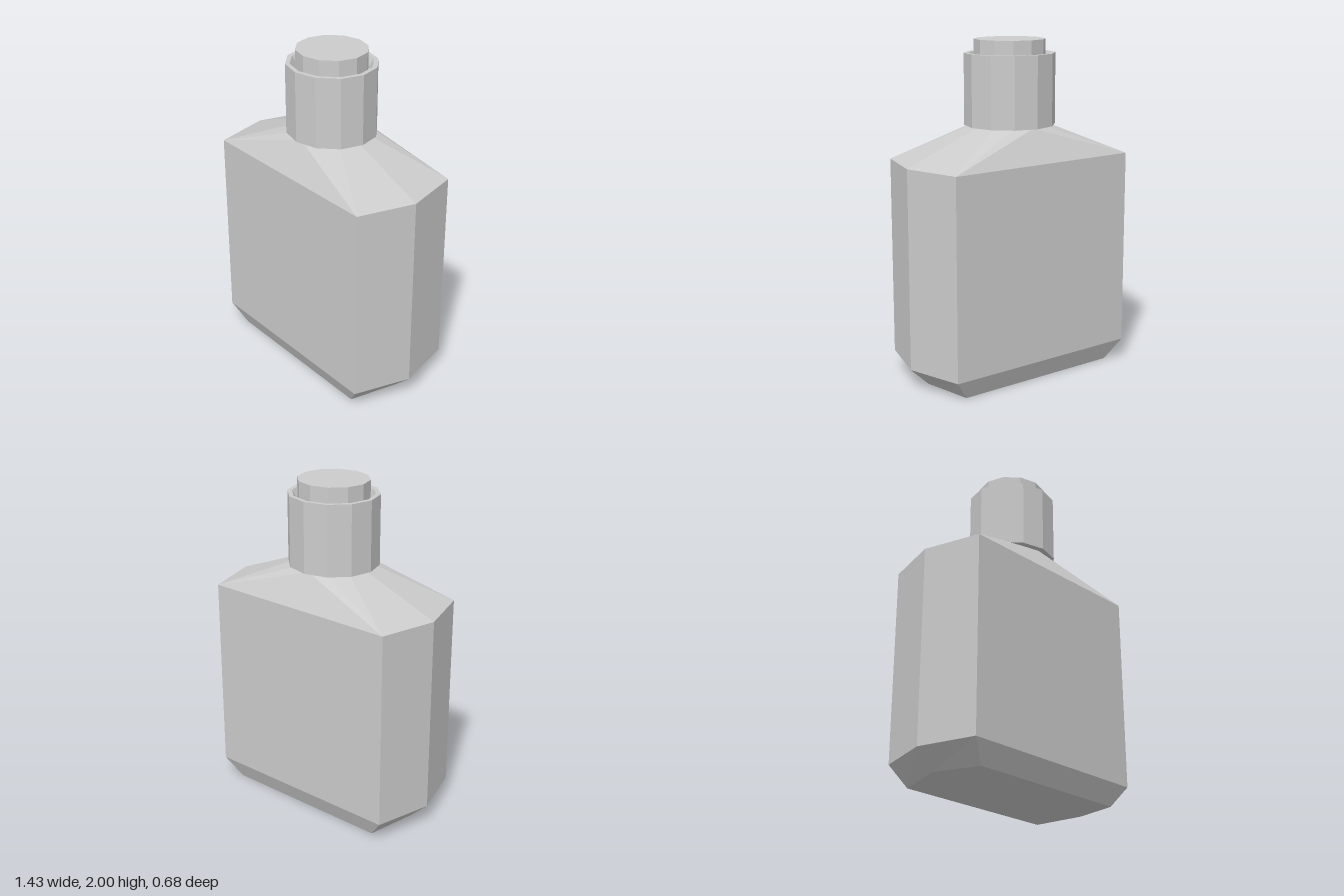
import * as THREE from 'three';

const material = new THREE.MeshStandardMaterial({ color: 0xcccccc, flatShading: true, side: THREE.DoubleSide });

// Six-sided outline, anticlockwise from above: tips on +x / -x, corners between them
const hexRing = (tip, corner, depth, y, tipY = y) => [
  [tip, tipY, 0], [corner, y, -depth], [-corner, y, -depth],
  [-tip, tipY, 0], [-corner, y, depth], [corner, y, depth],
];

function bodyGeometry() {
  const points = [];
  const tri = (a, b, c) => points.push(...a, ...b, ...c);
  const quad = (a, b, c, d) => { tri(a, b, c); tri(a, c, d); };

  const base = hexRing(0.6, 0.525, 0.287, 0, 0.012);
  const lower = hexRing(0.717, 0.62, 0.342, 0.125);
  const upper = hexRing(0.714, 0.618, 0.342, 1.31);
  const neck = Array.from({ length: 12 }, (_, k) => {
    const a = k * Math.PI / 6;
    return [0.235 * Math.cos(a), 1.5, -0.226 * Math.sin(a)];
  });

  // Bottom bevel and straight walls
  for (const [low, high] of [[base, lower], [lower, upper]]) {
    for (let i = 0; i < 6; i++) {
      const j = (i + 1) % 6;
      quad(low[i], low[j], high[j], high[i]);
    }
  }

  // Underside, with the two tips raised slightly
  quad(base[1], base[5], base[4], base[2]);
  tri(base[0], base[5], base[1]);
  tri(base[3], base[2], base[4]);

  // Shoulder: one triangle per side, then a fan from each corner to a quarter of the neck
  [0, 3, 6, 6, 9, 0].forEach((k, i) => tri(upper[i], upper[(i + 1) % 6], neck[k]));
  [1, 2, 4, 5].forEach((corner, q) => {
    for (let k = q * 3; k < q * 3 + 3; k++) tri(upper[corner], neck[(k + 1) % 12], neck[k]);
  });

  const geometry = new THREE.BufferGeometry();
  geometry.setAttribute('position', new THREE.Float32BufferAttribute(points, 3));
  geometry.computeVertexNormals();
  return geometry;
}

// Twelve-sided turned part, slightly narrower front to back
function turned(profile) {
  const geometry = new THREE.LatheGeometry(profile.map(([r, y]) => new THREE.Vector2(r, y)), 12);
  return geometry.scale(1, 1, 0.967);
}

export function createModel() {
  const model = new THREE.Group();
  model.name = 'bottle';
  const add = (name, geometry) => {
    const mesh = new THREE.Mesh(geometry, material);
    mesh.name = name;
    model.add(mesh);
  };

  add('body', bodyGeometry());
  // Collar with a flat rim sloping down into the groove around the stopper
  add('collar', turned([[0, 1.5], [0.272, 1.5], [0.272, 1.92], [0.245, 1.92], [0.213, 1.87]]));
  add('stopper', turned([[0.213, 1.87], [0.213, 2], [0, 2]]));
  return model;
}
